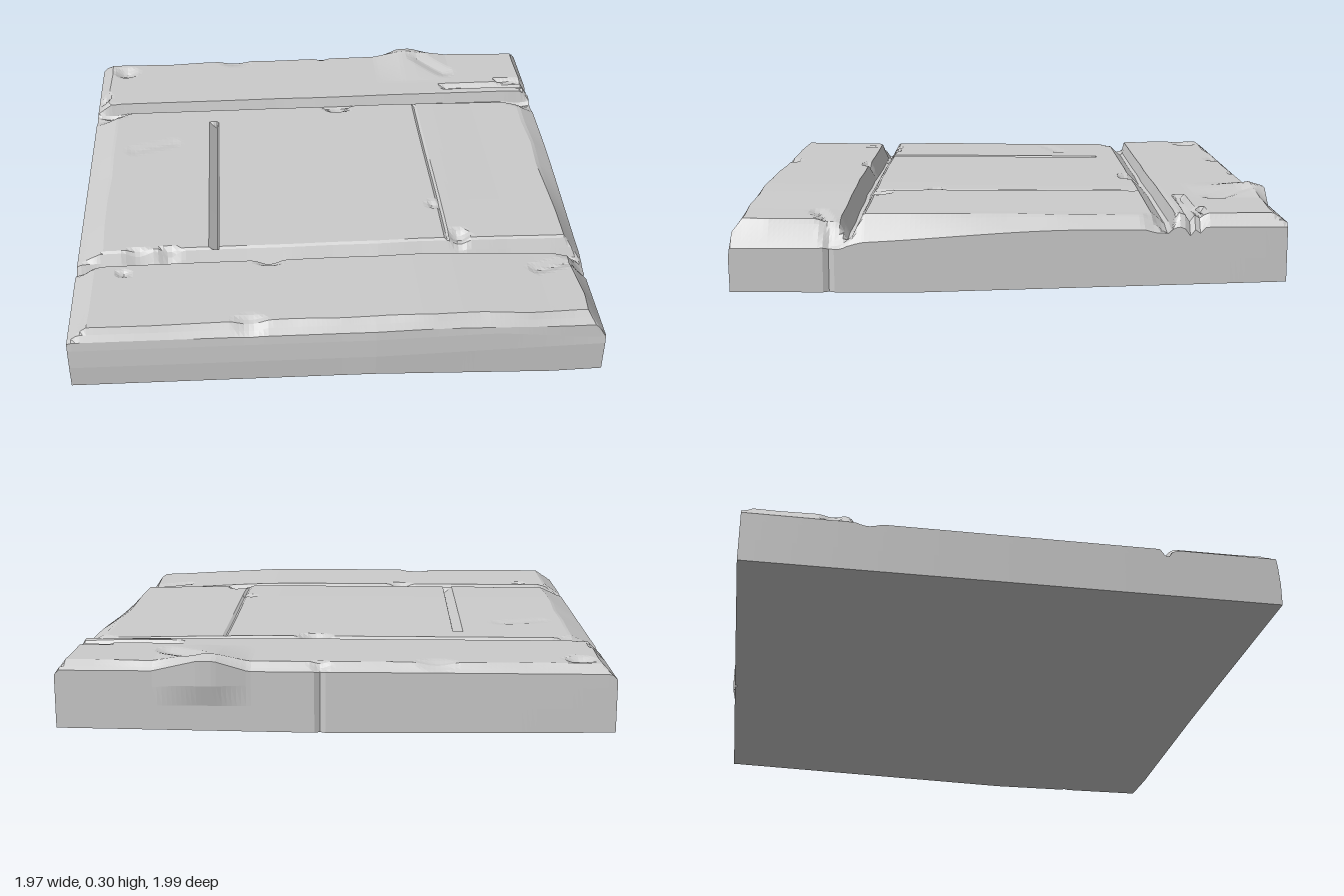
import * as THREE from 'three';

const { clamp, lerp, smoothstep } = THREE.MathUtils;

// Repeatable value in -1..1 for a whole number, and a jagged line through such values
const hash = (n) => {
  const s = Math.sin(n * 127.1 + 11.7) * 43758.5453;
  return (s - Math.floor(s)) * 2 - 1;
};
const jag = (t, seed) => {
  const u = t / 0.17 + 40, i = Math.floor(u);
  return lerp(hash(i + seed * 97), hash(i + 1 + seed * 97), u - i);
};
// 1 at distance 0, falling to 0 at distance r
const near = (d, r) => clamp(1 - Math.abs(d) / r, 0, 1);

// Height along a short list of [position, height] points
function profile(points, t) {
  if (t <= points[0][0]) return points[0][1];
  for (let i = 1; i < points.length; i++) {
    const [a, ha] = points[i - 1], [b, hb] = points[i];
    if (t <= b) return lerp(ha, hb, (t - a) / (b - a));
  }
  return points[points.length - 1][1];
}

// Grid lines through all key positions, with even steps between them
function gridLines(keys, step) {
  const out = [keys[0]];
  for (let i = 1; i < keys.length; i++) {
    const n = Math.ceil((keys[i] - keys[i - 1]) / step);
    for (let k = 1; k <= n; k++) out.push(lerp(keys[i - 1], keys[i], k / n));
  }
  return out;
}

const TOP = 0.285, LEFT = -0.985, RIGHT = 0.98, FRONT = 0.985, BACK = -0.975;
// Front-to-back section: bevelled ends and the two cross grooves
const section = [
  [BACK, 0.255], [-0.935, TOP], [-0.584, TOP], [-0.572, 0.24], [-0.558, 0.235], [-0.51, 0.279],
  [0.51, 0.287], [0.55, 0.215], [0.565, 0.215], [0.595, 0.28], [0.95, TOP], [FRONT, 0.24],
];
// Worn spots: x, z, radius x, radius z, depth
const chips = [
  [-0.87, -0.87, 0.06, 0.05, 0.025], [-0.95, -0.66, 0.03, 0.04, 0.025],
  [0.09, -0.51, 0.07, 0.05, 0.035], [0.49, 0.49, 0.05, 0.05, 0.03],
  [0.42, 0.28, 0.03, 0.03, 0.015], [-0.63, 0.52, 0.05, 0.03, 0.03],
  [-0.75, 0.53, 0.06, 0.04, 0.025], [-0.8, 0.64, 0.03, 0.025, 0.015],
  [-0.25, 0.6, 0.06, 0.03, 0.02], [-0.33, 0.95, 0.07, 0.04, 0.015],
  [-0.92, -0.53, 0.1, 0.06, 0.025], [0.93, -0.53, 0.09, 0.06, 0.02],
  [-0.94, 0.57, 0.07, 0.04, 0.02], [0.92, 0.59, 0.08, 0.04, 0.015],
  [0.05, -0.95, 0.04, 0.03, 0.012], [-0.36, -0.93, 0.08, 0.04, 0.012],
];
// Cracks: x1, z1, x2, z2, half width, depth
const cracks = [
  [0.6, -0.645, 0.98, -0.635, 0.022, 0.032], [0.85, -0.685, 0.98, -0.67, 0.02, 0.022],
  [0.76, 0.69, 0.96, 0.62, 0.035, 0.014], [0.5, -0.9, 0.61, -0.78, 0.05, 0.015],
  [-0.8, -0.2, -0.64, -0.25, 0.04, 0.005],
];

const lip = (x) => profile([[0.3, 0], [0.42, 1], [0.48, 1], [0.64, 0]], x);
// Wall outlines: bowed front, right wall leaning in, a thin seam in the back and right walls
const frontShift = (x) => profile([[LEFT, -0.008], [0, 0.004], [0.12, 0.006], [RIGHT, -0.012]], x);
const backShift = (x) => 0.01 * near(x - 0.05, 0.02);
const rightShift = (z) => lerp(0.005, -0.013, (z + 1) / 2) - 0.01 * near(z - 0.63, 0.02);

function topHeight(x, z) {
  let y = profile(section, z);
  // Side bevels: narrow on the back strip, and the right one drops towards the front
  const middle = smoothstep(z, -0.6, -0.55);
  const rightEdge = lerp(0.24, 0.19, smoothstep(z, -0.3, 0.7));
  const left = LEFT + lerp(0.05, z < 0.56 ? 0.1 : 0.075, middle);
  const right = lerp(0.95, 0.9, middle);
  y = Math.min(y, profile([[LEFT, 0.235], [left, TOP], [right, TOP], [RIGHT, rightEdge]], x));
  // Worn right side, lowest at the front corner
  const worn = 0.01 * middle + 0.016 * smoothstep(z, 0.5, 0.6);
  y -= worn * smoothstep(x, 0.25, 0.95);
  // Joints between the three middle slabs
  if (z > -0.41 && z < 0.51) y -= profile([[-0.48, 0], [-0.448, 0.03], [-0.44, 0]], x);
  if (z > -0.51 && z < 0.51) y -= profile([[0.43, 0], [0.44, 0.007], [0.45, 0]], x);
  for (const [cx, cz, rx, rz, depth] of chips)
    y -= depth * clamp(1.3 - 1.3 * Math.hypot((x - cx) / rx, (z - cz) / rz), 0, 1);
  for (const [x1, z1, x2, z2, w, depth] of cracks) {
    const dx = x2 - x1, dz = z2 - z1;
    const t = clamp(((x - x1) * dx + (z - z1) * dz) / (dx * dx + dz * dz), 0, 1);
    y -= depth * near(Math.hypot(x - x1 - t * dx, z - z1 - t * dz), w);
  }
  // Raised lip on the back edge
  return y + lip(x) * profile([[BACK, 0.04], [-0.93, 0.024], [-0.7, 0]], z);
}

// Top point: bevel and groove edges wander, and the rim follows the wall outlines
function topPoint(x, z) {
  const wz = 0.012 * near(z + 0.925, 0.045) * jag(x, 1)
    + 0.006 * near(z - 0.95, 0.03) * jag(x, 2)
    + 0.004 * (near(z + 0.56, 0.1) * jag(x, 3) + near(z - 0.555, 0.1) * jag(x, 4));
  const wx = 0.008 * (near(x + 0.9, 0.07) * jag(z, 5) + near(x - 0.9, 0.07) * jag(z, 6));
  const lean = rightShift(z) * clamp((x - 0.9) / 0.08, 0, 1);
  // Right joint runs slightly askew between the cross grooves
  const askew = 0.014 * z * near(x - 0.44, 0.1) * near(z, 0.8);
  const ends = z < -0.935 ? (backShift(x) - 0.018 * lip(x)) * near(z - BACK, 0.04)
    : frontShift(x) * smoothstep(z, 0.9, FRONT);
  return [x + wx + lean + askew, topHeight(x, z), z + wz + ends];
}

// Bottom edge drops to the ground at the front right corner and sags along the back
const bottomEdge = (x, z) =>
  0.045 - 0.039 * profile([[0.12, 0], [0.78, 1]], x) * profile([[-0.95, 0], [0.3, 1]], z)
  - 0.011 * near(x, 0.98) * near(z - BACK, 0.5);

function slabGeometry() {
  const step = 0.018;
  const xs = gridLines([LEFT, -0.935, -0.91, -0.885, -0.48, -0.448, -0.44, 0.03, 0.05, 0.07,
    0.12, 0.43, 0.44, 0.45, 0.9, 0.95, RIGHT], step);
  const zs = gridLines([BACK, -0.935, -0.6, -0.584, -0.572, -0.558, -0.51, -0.415, -0.405, 0.505,
    0.515, 0.55, 0.565, 0.595, 0.61, 0.63, 0.65, 0.95, FRONT], step);
  const nx = xs.length, nz = zs.length, pos = [], index = [];
  const quad = (a, b, c, d) => index.push(a, b, c, a, c, d);

  // Top surface
  for (const z of zs) for (const x of xs) pos.push(...topPoint(x, z));
  for (let j = 0; j < nz - 1; j++)
    for (let i = 0; i < nx - 1; i++) {
      const a = j * nx + i;
      quad(a, a + nx, a + nx + 1, a + 1);
    }

  // Rim, running front, right, back, left
  const rim = [];
  for (let i = 0; i < nx - 1; i++) rim.push([i, nz - 1]);
  for (let j = nz - 1; j > 0; j--) rim.push([nx - 1, j]);
  for (let i = nx - 1; i > 0; i--) rim.push([i, 0]);
  for (let j = 0; j < nz - 1; j++) rim.push([0, j]);

  // Walls and underside: rings going down and then inwards to a shallow ridge
  const addRing = (fn) => {
    const start = pos.length / 3;
    for (const [i, j] of rim) pos.push(...fn(xs[i], zs[j]));
    return start;
  };
  const wallPoint = (x, z, y, bulge, out) => [
    x === RIGHT ? x + rightShift(z) : x, y,
    z === FRONT ? z + frontShift(x) + out : z === BACK ? z + backShift(x) - bulge * lip(x) : z];
  const rings = [
    addRing((x, z) => wallPoint(x, z, 0.205 - 0.045 * smoothstep(x, 0.5, RIGHT), 0.018, 0.004)),
    addRing((x, z) => wallPoint(x, z, 0.13, 0, 0.008)),
    addRing((x, z) => wallPoint(x, z, bottomEdge(x, z), 0, 0.006)),
    addRing((x, z) => [x * 0.6, 0.012, z * 0.15 + 0.15]),
  ];
  const centre = pos.length / 3;
  pos.push(0, 0.01, 0.15);
  const n = rim.length, last = rings.length - 1;
  for (let k = 0; k < n; k++) {
    const m = (k + 1) % n;
    const topK = rim[k][1] * nx + rim[k][0], topM = rim[m][1] * nx + rim[m][0];
    quad(topK, rings[0] + k, rings[0] + m, topM);
    for (let r = 1; r <= last; r++)
      quad(rings[r - 1] + k, rings[r] + k, rings[r] + m, rings[r - 1] + m);
    index.push(rings[last] + k, centre, rings[last] + m);
  }

  const indexed = new THREE.BufferGeometry();
  indexed.setAttribute('position', new THREE.Float32BufferAttribute(pos, 3));
  indexed.setIndex(index);
  const geometry = indexed.toNonIndexed();
  geometry.computeVertexNormals();
  return geometry;
}

export function createModel() {
  const group = new THREE.Group();
  group.name = 'stoneFloorTile';
  const stone = new THREE.MeshStandardMaterial({ color: 0xcccccc, flatShading: true });
  const slab = new THREE.Mesh(slabGeometry(), stone);
  slab.name = 'stoneSlab';
  group.add(slab);
  return group;
}
